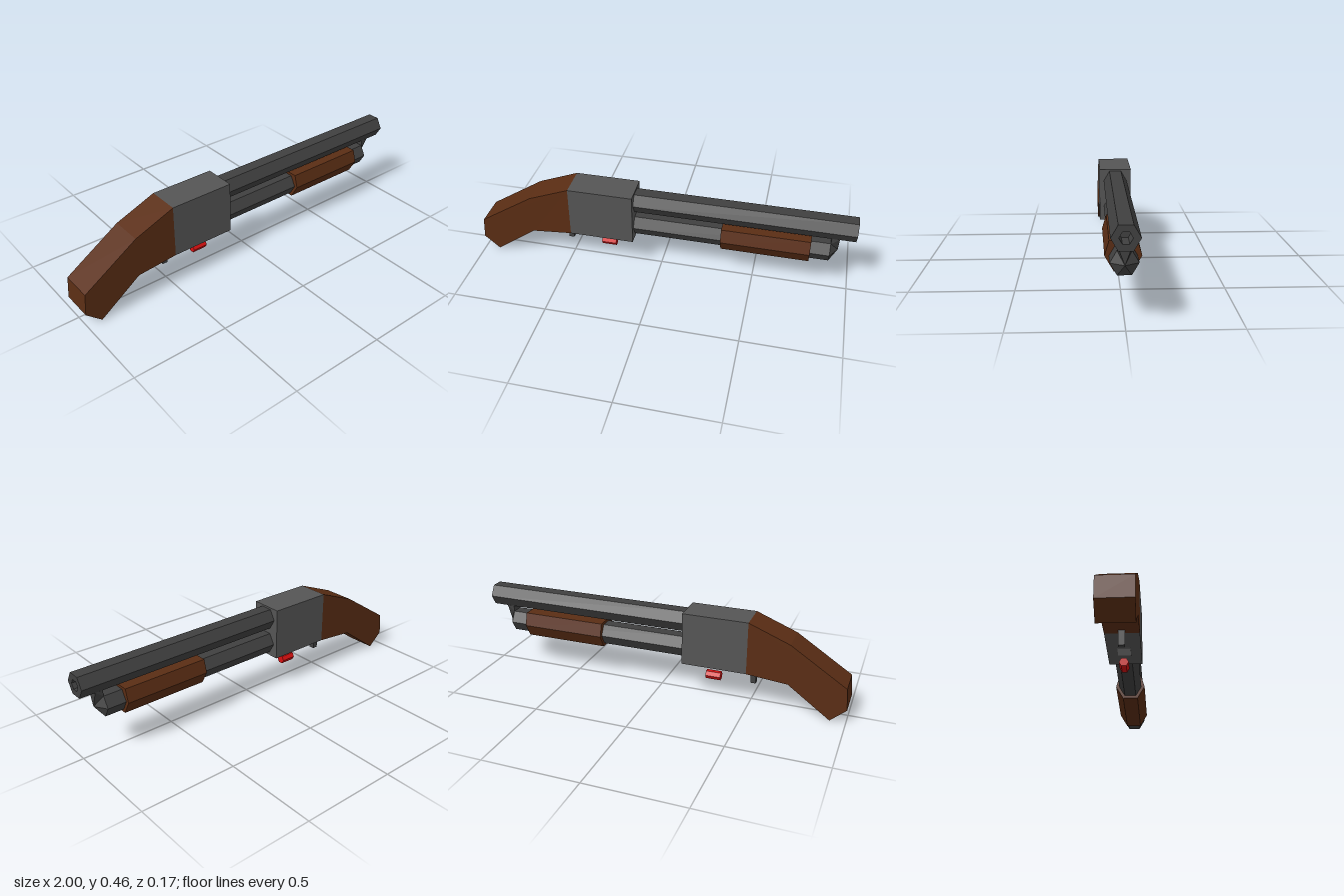
import * as THREE from 'three';
import { ConvexGeometry } from 'three/addons/geometries/ConvexGeometry.js';

const mat = (color) => new THREE.MeshStandardMaterial({ color, flatShading: true });

export function createModel() {
  const root = new THREE.Group();
  const steel = mat(0x404040), body = mat(0x555555), wood = mat(0x5a2d14);
  const red = mat(0xd51010), light = mat(0x808080);

  const add = (name, geometry, material, x = 0, y = 0, z = 0) => {
    const mesh = new THREE.Mesh(geometry, material);
    mesh.name = name;
    mesh.position.set(x, y, z);
    root.add(mesh);
    return mesh;
  };
  const shapeOf = (pts) => new THREE.Shape(pts.map(([x, y]) => new THREE.Vector2(x, y)));
  const extrude = (pts, depth) =>
    new THREE.ExtrudeGeometry(shapeOf(pts), { depth, bevelEnabled: false }).translate(0, 0, -depth / 2);
  // six-sided solid along x from [radius, x] pairs
  const hexLathe = (pts) =>
    new THREE.LatheGeometry(pts.map(([r, x]) => new THREE.Vector2(r, x)), 6).rotateZ(-Math.PI / 2);

  // curved grip stock
  add('stock', extrude([
    [-0.485, 0.46], [-0.7, 0.375], [-0.99, 0.187], [-1, 0.072],
    [-0.92, 0], [-0.7, 0.16], [-0.485, 0.18],
  ], 0.17), wood);

  // receiver with the loading gate underneath
  add('receiver', new THREE.BoxGeometry(0.345, 0.28, 0.17), body, -0.3125, 0.32);
  add('loadingGate', new THREE.BoxGeometry(0.085, 0.004, 0.065), light, -0.29, 0.18);

  // barrel with a recessed bore
  add('barrel', hexLathe([
    [0, -0.15], [0.063, -0.15], [0.063, 1], [0.029, 1], [0.029, 0.9], [0, 0.9],
  ]), steel, 0, 0.396);

  // magazine tube with a pointed cap
  add('magazineTube', hexLathe([
    [0, -0.15], [0.063, -0.15], [0.063, 0.88], [0, 0.92],
  ]), steel, 0, 0.255);

  // bracket joining the cap to the barrel
  const corners = [[0.88, 0.309], [0.88, 0.342], [0.92, 0.342]]
    .flatMap(([x, y]) => [-0.032, 0.032].map((z) => new THREE.Vector3(x, y, z)));
  corners.push(new THREE.Vector3(0.92, 0.255, 0));
  add('bracket', new ConvexGeometry(corners), steel);

  // sliding fore grip, wider at the top than at the bottom
  const half = [[0.041, 0.185], [0.082, 0.256], [0.062, 0.324]];
  const outline = [...half, ...half.map(([z, y]) => [-z, y]).reverse()];
  add('foreGrip', extrude(outline, 0.457).rotateY(Math.PI / 2), wood, 0.554);

  // trigger and loose shell
  add('trigger', new THREE.BoxGeometry(0.028, 0.09, 0.032), steel, -0.508, 0.145);
  add('shell', new THREE.CylinderGeometry(0.024, 0.024, 0.08, 6).rotateZ(-Math.PI / 2), red, -0.292, 0.103);

  return root;
}
